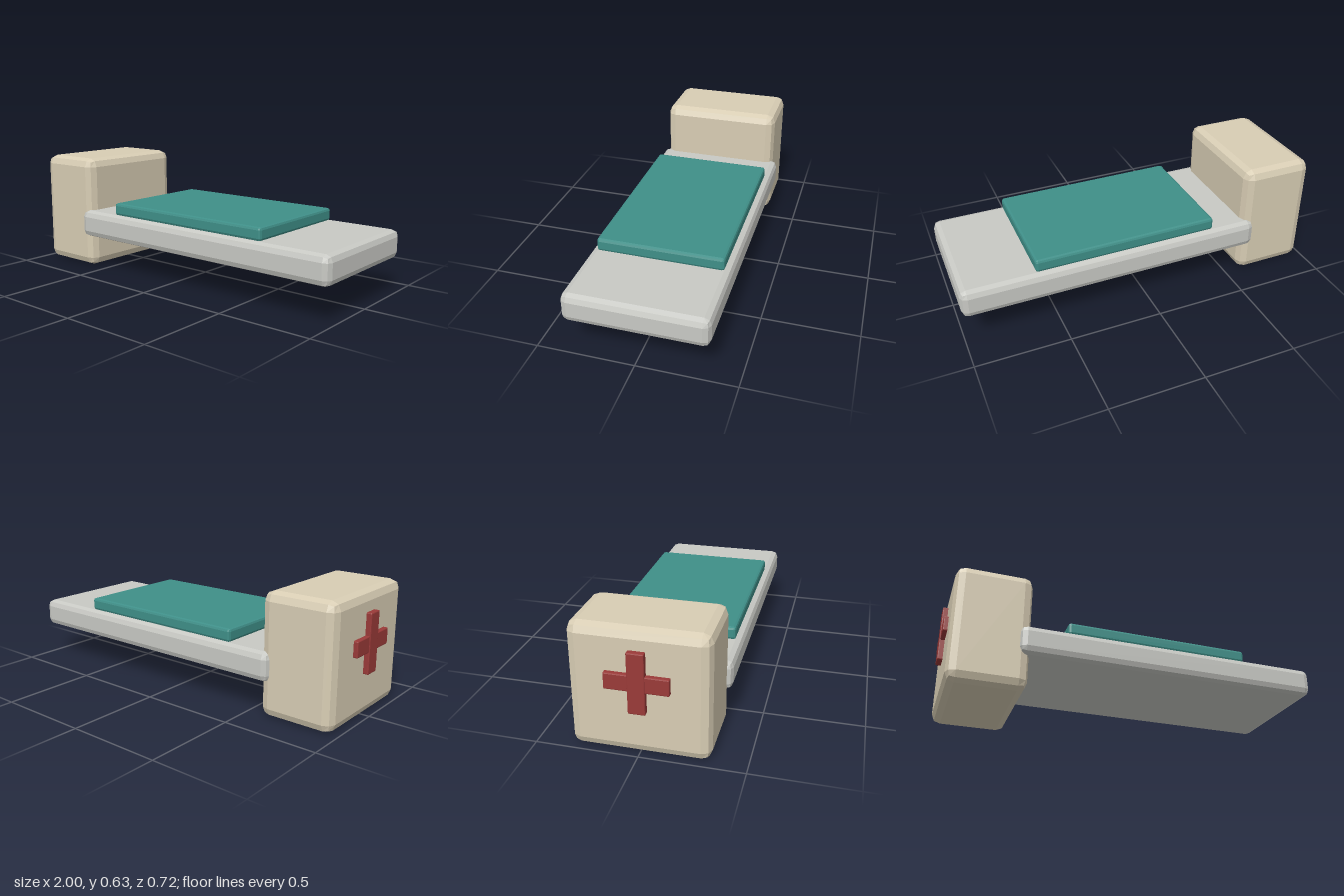
import * as THREE from 'three';
import { RoundedBoxGeometry } from 'three/addons/geometries/RoundedBoxGeometry.js';

// Bevelled box given by its minimum and maximum corners
function block(name, min, max, radius, color) {
  const size = max.map((v, i) => v - min[i]);
  const material = new THREE.MeshStandardMaterial({ color, flatShading: true });
  const mesh = new THREE.Mesh(new RoundedBoxGeometry(...size, 1, radius), material);
  mesh.position.set(...max.map((v, i) => (v + min[i]) / 2));
  mesh.name = name;
  return mesh;
}

export function createModel() {
  const model = new THREE.Group();
  model.name = 'medicalBed';

  // Upright head unit standing on the floor
  model.add(block('headUnit', [-0.973, 0, -0.333], [-0.578, 0.63, 0.333], 0.047, 0xd8cdb4));

  // Cantilevered bed slab and the pad on top of it
  model.add(block('bedSlab', [-0.636, 0.183, -0.361], [1, 0.334, 0.361], 0.035, 0xc8c9c4));
  model.add(block('pad', [-0.388, 0.332, -0.328], [0.61, 0.401, 0.328], 0.014, 0x3f8f88));

  // Raised cross on the outer face of the head unit
  const cross = new THREE.Group();
  cross.name = 'cross';
  cross.add(block('crossUpright', [-1, 0.225, -0.041], [-0.965, 0.53, 0.041], 0.005, 0x9a3a38));
  cross.add(block('crossBar', [-0.996, 0.336, -0.152], [-0.961, 0.418, 0.152], 0.005, 0x9a3a38));
  model.add(cross);

  return model;
}
